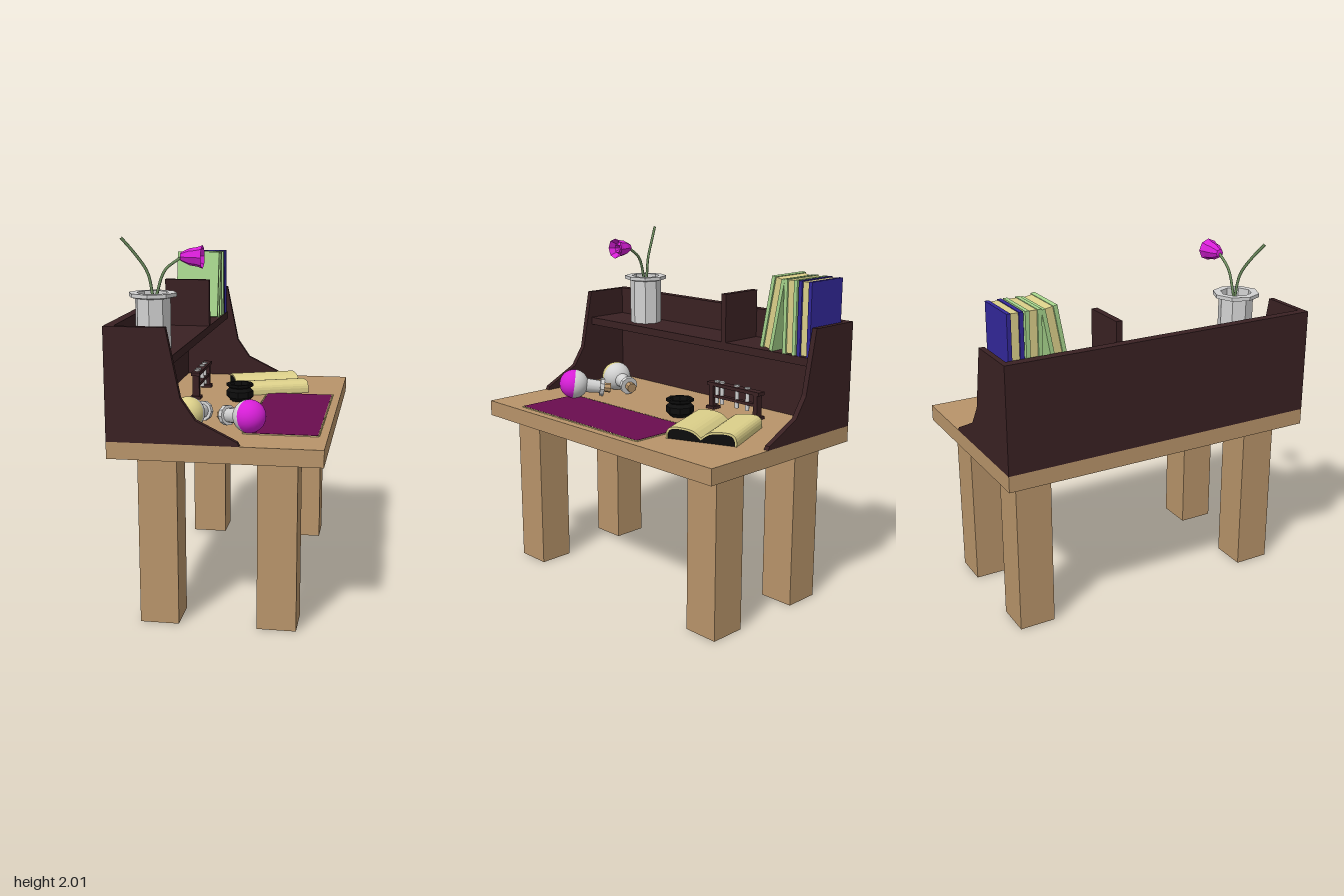
import * as THREE from 'three';

const mat = (name, color, side = THREE.FrontSide) => {
  const m = new THREE.MeshStandardMaterial({ color, side });
  m.name = name;
  return m;
};

export function createModel() {
  const wood = mat('tan wood', 0xb8946a);
  const dark = mat('dark wood', 0x3a2123);
  const blue = mat('blue cover', 0x33289a);
  const green = mat('green cover', 0xa6d48c);
  const paper = mat('paper yellow', 0xdcd08a);
  const pale = mat('pale grey', 0xd2d2d2);
  const black = mat('black', 0x0d0d0d);
  const magenta = mat('magenta', 0xd81fd8, THREE.DoubleSide);
  const plum = mat('plum cloth', 0x6a0d4f);
  const stemGreen = mat('stem green', 0x6f8f5f);

  const model = new THREE.Group();
  const add = (name, geo, material, parent = model) => {
    const m = new THREE.Mesh(geo, material);
    m.name = name;
    parent.add(m);
    return m;
  };
  const flat = (geo) => {
    const g = geo.index ? geo.toNonIndexed() : geo;
    g.computeVertexNormals();
    return g;
  };
  // Box given by its minimum and maximum on each axis
  const box = (name, x0, x1, y0, y1, z0, z1, material, parent) => {
    const m = add(name, new THREE.BoxGeometry(x1 - x0, y1 - y0, z1 - z0), material, parent);
    m.position.set((x0 + x1) / 2, (y0 + y1) / 2, (z0 + z1) / 2);
    return m;
  };
  const vec2 = (pts) => pts.map(([x, y]) => new THREE.Vector2(x, y));
  const lathe = (pts, n) => new THREE.LatheGeometry(vec2(pts), n);
  const extrude = (pts, depth) =>
    new THREE.ExtrudeGeometry(new THREE.Shape(pts), { depth, bevelEnabled: false });

  // Table
  box('tableTop', -0.55, 0.55, 0.915, 1.005, -0.92, 0.92, wood);
  for (const sx of [-1, 1]) for (const sz of [-1, 1]) {
    box('leg', sx * 0.31 - 0.103, sx * 0.31 + 0.103, 0, 0.915, sz * 0.725 - 0.102, sz * 0.725 + 0.102, wood);
  }

  // Raised shelf with curved side panels
  box('shelfBack', -0.55, -0.5, 1.005, 1.59, -0.89, 0.89, dark);
  box('shelfBoard', -0.5, -0.235, 1.38, 1.425, -0.89, 0.89, dark);
  box('shelfDivider', -0.5, -0.235, 1.425, 1.7, -0.278, -0.243, dark);
  const side = vec2([[-0.55, 1.004], [0.13, 1.004], [0.12, 1.025], [-0.09, 1.13], [-0.165, 1.24], [-0.235, 1.59], [-0.55, 1.59]]);
  for (const z of [-0.92, 0.89]) add('shelfSide', extrude(side, 0.03), dark).position.z = z;

  // Standing books: two covers around a page block, pivoted at the foot
  const book = (cover, z, tilt) => {
    const g = new THREE.Group();
    g.name = 'book';
    for (const s of [0, 0.066]) box('bookCover', -0.5, -0.238, 0, 0.402, s, s + 0.022, cover, g);
    box('bookPages', -0.49, -0.248, 0.004, 0.398, 0.022, 0.066, paper, g);
    g.position.set(0, 1.425, z);
    g.rotation.x = tilt;
    model.add(g);
  };
  book(blue, -0.876, 0);
  book(green, -0.778, 0);
  book(green, -0.618, -0.187);

  // Vase with eight sides
  const vase = new THREE.Group();
  vase.name = 'vase';
  vase.position.set(-0.385, 1.425, 0.54);
  model.add(vase);
  add('vaseBody', flat(lathe([[0, 0], [0.095, 0], [0.095, 0.262], [0.128, 0.27], [0.128, 0.29], [0.085, 0.29], [0.082, 0.2], [0, 0.2]], 8)), pale, vase);
  add('vaseSoil', new THREE.CylinderGeometry(0.08, 0.08, 0.008, 8), wood, vase).position.y = 0.206;

  // Flower stems and bloom
  const stem = (pts) => {
    const curve = new THREE.CatmullRomCurve3(pts.map((p) => new THREE.Vector3(...p)));
    add('flowerStem', new THREE.TubeGeometry(curve, 12, 0.008, 6), stemGreen);
  };
  stem([[-0.38, 1.63, 0.54], [-0.36, 1.72, 0.535], [-0.32, 1.83, 0.53], [-0.23, 1.9, 0.527]]);
  stem([[-0.38, 1.63, 0.535], [-0.39, 1.72, 0.535], [-0.41, 1.82, 0.545], [-0.47, 1.92, 0.575], [-0.53, 2.0, 0.61]]);
  const bloom = add('flowerBloom', flat(lathe([[0, 0], [0.022, 0.004], [0.044, 0.05], [0.05, 0.09], [0.06, 0.118], [0.036, 0.085], [0.025, 0.1], [0, 0.04]], 8)), magenta);
  bloom.position.set(-0.24, 1.9, 0.527);
  bloom.rotation.z = -Math.PI / 2;

  // Round flasks lying on the table, the far half filled with colour
  const flask = (x, z, dx, dz, liquid) => {
    const g = new THREE.Group();
    g.name = 'flask';
    add('flaskLiquid', new THREE.SphereGeometry(0.088, 24, 10, 0, Math.PI * 2, Math.PI / 2, Math.PI / 2), liquid, g);
    add('flaskShoulder', new THREE.SphereGeometry(0.088, 24, 10, 0, Math.PI * 2, 0, Math.PI / 2), pale, g);
    add('flaskNeck', new THREE.CylinderGeometry(0.038, 0.046, 0.13, 12), pale, g).position.y = 0.105;
    add('flaskCollar', flat(new THREE.CylinderGeometry(0.055, 0.055, 0.026, 10)), pale, g).position.y = 0.172;
    add('flaskCork', flat(new THREE.CylinderGeometry(0.03, 0.026, 0.06, 8)), wood, g).position.y = 0.195;
    g.position.set(x, 1.092, z);
    g.quaternion.setFromUnitVectors(new THREE.Vector3(0, 1, 0), new THREE.Vector3(dx, -0.14, dz).normalize());
    model.add(g);
  };
  flask(0.137, 0.627, -0.78, -0.62, magenta);
  flask(-0.19, 0.605, 0.28, -0.96, paper);

  // Ink pot
  add('inkPot', flat(lathe([[0, 0], [0.055, 0], [0.08, 0.025], [0.08, 0.06], [0.062, 0.078], [0.08, 0.088], [0.08, 0.103], [0.06, 0.103], [0.05, 0.05], [0, 0.05]], 8)), black)
    .position.set(-0.03, 1.005, -0.122);

  // Tube rack
  const rack = new THREE.Group();
  rack.name = 'tubeRack';
  model.add(rack);
  for (const z of [-0.135, -0.475]) {
    box('rackPost', -0.315, -0.275, 1.005, 1.15, z - 0.015, z + 0.015, dark, rack);
    box('rackFoot', -0.325, -0.265, 1.005, 1.022, z - 0.03, z + 0.03, dark, rack);
  }
  box('rackTop', -0.32, -0.27, 1.145, 1.165, -0.505, -0.105, dark, rack);
  box('rackBar', -0.31, -0.28, 1.075, 1.092, -0.475, -0.135, dark, rack);
  for (const z of [-0.165, -0.205, -0.32, -0.4]) {
    add('rackTube', new THREE.CylinderGeometry(0.012, 0.012, 0.13, 8), pale, rack).position.set(-0.295, 1.105, z);
    add('rackTubeRim', new THREE.CylinderGeometry(0.017, 0.017, 0.008, 8), pale, rack).position.set(-0.295, 1.171, z);
  }

  // Open book: two arched page stacks with dark undersides
  const openBook = new THREE.Group();
  openBook.name = 'openBook';
  openBook.position.set(0.088, 1.006, -0.507);
  openBook.rotation.y = 1.953;
  model.add(openBook);
  const spread = (pts) => {
    const half = new THREE.SplineCurve(vec2(pts)).getPoints(14);
    const other = half.slice(0, -1).reverse().map((p) => new THREE.Vector2(-p.x, p.y));
    return [...half, ...other];
  };
  const outer = spread([[0.2, 0], [0.197, 0.04], [0.17, 0.066], [0.1, 0.068], [0.04, 0.056], [0, 0.025]]);
  const inner = spread([[0.19, 0], [0.187, 0.034], [0.163, 0.056], [0.1, 0.058], [0.045, 0.046], [0, 0.013]]);
  add('openBookPages', extrude([...outer, ...inner.slice().reverse()], 0.405), paper, openBook).position.z = -0.2025;
  add('openBookUnderside', extrude(inner, 0.395), black, openBook).position.z = -0.1975;

  // Cloth mat with stitched edges
  box('matCloth', 0.11, 0.5, 1.005, 1.011, -0.33, 0.66, plum);
  box('matHem', 0.108, 0.502, 1.005, 1.009, -0.336, 0.666, paper);
  for (let i = 0; i < 40; i++) {
    const z = -0.325 + i * 0.025;
    for (const x of [0.108, 0.502]) box('matStitch', x - 0.005, x + 0.005, 1.005, 1.012, z - 0.005, z + 0.005, paper);
  }

  return model;
}
